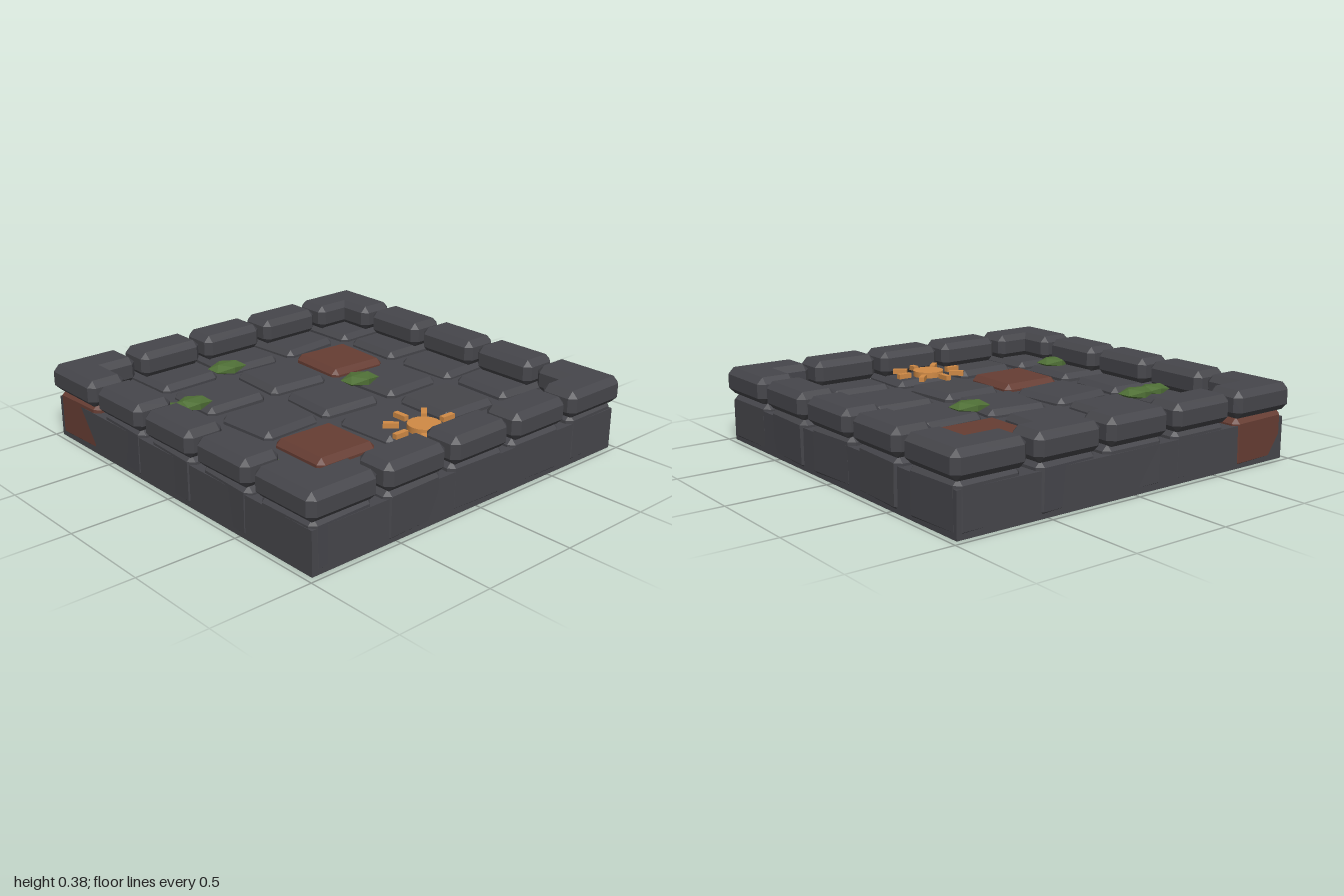
import * as THREE from 'three';
import { ConvexGeometry } from 'three/addons/geometries/ConvexGeometry.js';

const flat = (name, color) => {
  const m = new THREE.MeshStandardMaterial({ color });
  m.name = name;
  return m;
};

// Box with every edge cut by a single flat chamfer c
function chamferBox(w, h, d, c) {
  const pts = [];
  for (const x of [-1, 1]) for (const y of [-1, 1]) for (const z of [-1, 1]) {
    const X = w / 2, Y = h / 2, Z = d / 2;
    pts.push(
      new THREE.Vector3(x * X, y * (Y - c), z * (Z - c)),
      new THREE.Vector3(x * (X - c), y * Y, z * (Z - c)),
      new THREE.Vector3(x * (X - c), y * (Y - c), z * Z));
  }
  return new ConvexGeometry(pts);
}

export function createModel() {
  const model = new THREE.Group();
  model.name = 'stoneFloorTile';
  const stone = flat('darkStone', 0x46464b);
  const brick = flat('redBrick', 0x663d33);
  const moss = flat('mossGreen', 0x4f6f36);
  const gold = flat('sunOrange', 0xd08a45);

  const add = (name, geo, mat, x, y, z, parent = model) => {
    const m = new THREE.Mesh(geo, mat);
    m.name = name;
    m.position.set(x, y, z);
    parent.add(m);
    return m;
  };

  // Slab under the paving
  add('baseSlab', new THREE.BoxGeometry(1.945, 0.21, 1.945), stone, 0, 0.105, 0);

  // Paving: 5 x 5 slightly turned blocks; rows run back to front (degrees of turn)
  const turns = [
    [1, 1, -1, 4, 2],
    [-2, -1.5, -3.5, -2, -2],
    [-3, 4, -4.5, 1.5, 2],
    [-2, -1, 3, -2, -2],
    [1, 1.5, -1, -1.5, 2],
  ];
  const bricks = ['0,0', '1,3', '3,1'];
  const block = chamferBox(0.342, 0.248, 0.342, 0.028);
  turns.forEach((row, r) => row.forEach((deg, c) => {
    const red = bricks.includes(r + ',' + c);
    let x = (c - 2) * 0.4, z = (r - 2) * 0.4;
    if (c === 4) x += 0.007;
    if (r === 4 && c > 0 && c < 4) z += 0.005;
    if (r === 0 && c === 0) { x -= 0.003; z -= 0.004; }
    const m = add(red ? 'brickPaver' : 'stonePaver', block, red ? brick : stone, x, 0.126, z);
    m.rotation.set(THREE.MathUtils.degToRad((r * 3 + c * 2) % 5 - 2) * 0.35,
      THREE.MathUtils.degToRad(deg), THREE.MathUtils.degToRad((r + c * 3) % 5 - 2) * 0.35);
  }));

  // Raised rim: five chamfered stones per side, overlapping into L shapes at the corners
  const spans = [[-1, -0.62], [-0.58, -0.22], [-0.18, 0.18], [0.22, 0.58], [0.62, 1]];
  const depth = 0.205, inset = 1 - depth / 2;
  for (const [a, b] of spans) for (const s of [-1, 1]) {
    const mid = (a + b) / 2, len = b - a;
    add('rimStone', chamferBox(len, 0.135, depth, 0.032), stone, mid, 0.3125, s * inset);
    add('rimStone', chamferBox(depth, 0.135, len, 0.032), stone, s * inset, 0.3125, mid);
  }

  // Moss clumps
  const clump = new THREE.IcosahedronGeometry(1, 0);
  for (const [x, z, k] of [[-0.175, -0.635, 1], [0.23, -0.05, 1], [-0.605, -0.34, 0.95],
    [-0.725, -0.335, 0.88], [-0.78, 0.51, 1]]) {
    add('mossClump', clump, moss, x, 0.262, z).scale.set(0.111 * k, 0.03, 0.08 * k);
  }

  // Sun emblem: disc and eight rays
  const sun = new THREE.Group();
  sun.name = 'sunEmblem';
  sun.position.set(0, 0.28, 0.635);
  model.add(sun);
  add('sunDisc', new THREE.CylinderGeometry(0.081, 0.081, 0.03, 16), gold, 0, 0, 0, sun);
  const ray = new THREE.BoxGeometry(0.075, 0.025, 0.027);
  for (let i = 0; i < 8; i++) {
    const a = i * Math.PI / 4;
    add('sunRay', ray, gold, Math.cos(a) * 0.153, 0.002, -Math.sin(a) * 0.153, sun).rotation.y = a;
  }
  return model;
}
